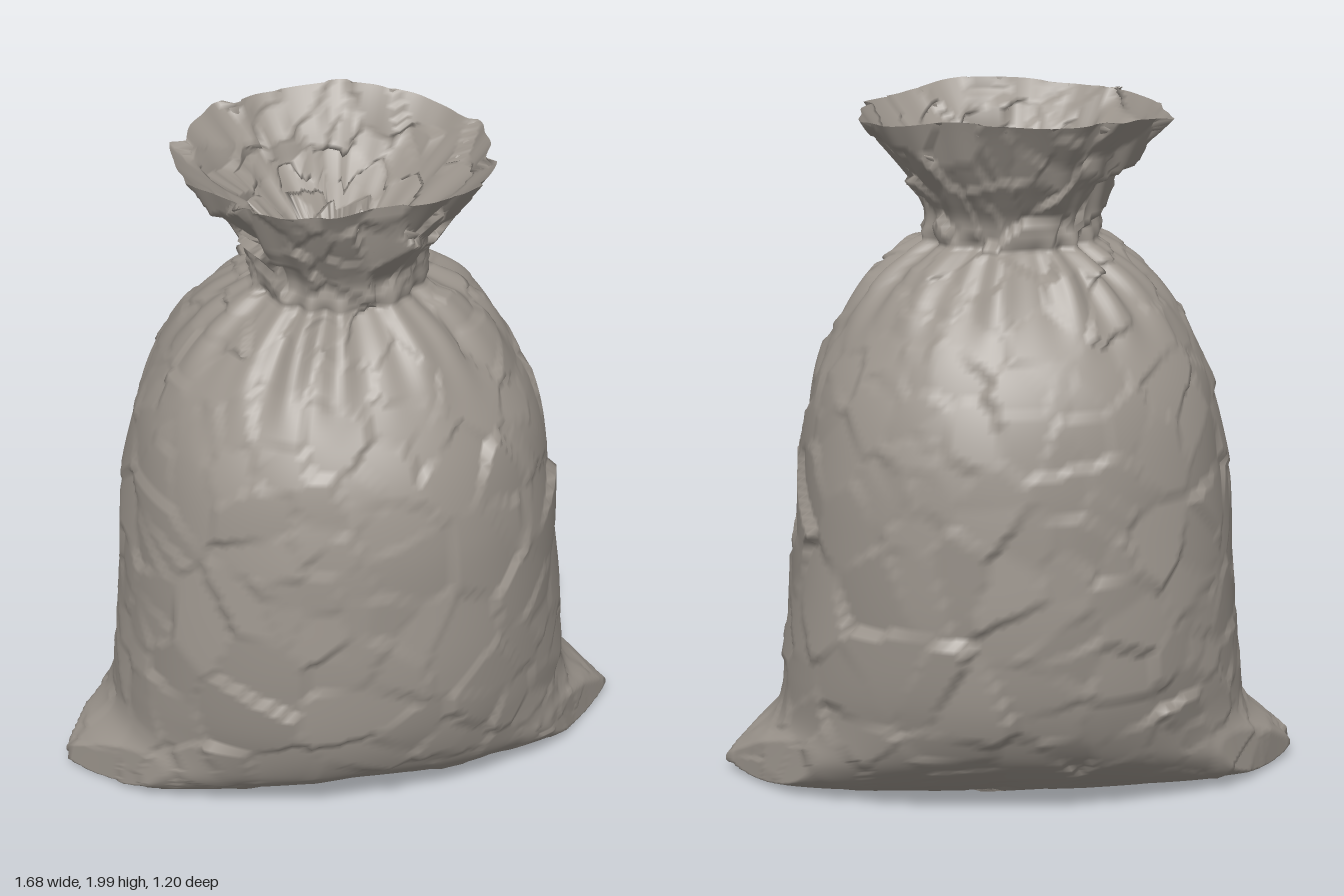
import * as THREE from 'three';

const TAU = Math.PI * 2;
const { smoothstep } = THREE.MathUtils;

// Profiles as [half width x, height, half depth z]
const OUTER = [
  [0, 0.004, 0], [0.42, 0.008, 0.12], [0.8, 0.018, 0.24], [0.84, 0.045, 0.3], [0.775, 0.12, 0.4],
  [0.69, 0.21, 0.485], [0.668, 0.36, 0.555], [0.648, 0.58, 0.59], [0.632, 0.8, 0.595],
  [0.605, 1.02, 0.585], [0.56, 1.22, 0.54], [0.475, 1.39, 0.45], [0.37, 1.52, 0.35],
  [0.26, 1.6, 0.26], [0.24, 1.615, 0.24], [0.25, 1.63, 0.25], [0.248, 1.69, 0.248],
  [0.275, 1.75, 0.275], [0.34, 1.855, 0.33], [0.42, 1.975, 0.39],
];
const LINING = [
  [0.42, 1.975, 0.39], [0.34, 1.88, 0.32], [0.26, 1.79, 0.26], [0.19, 1.73, 0.19],
  [0.11, 1.71, 0.11], [0, 1.71, 0],
];

function seededRandom(seed) {
  return () => {
    seed = (seed * 1664525 + 1013904223) % 4294967296;
    return seed / 4294967296;
  };
}

const makeCurve = (profile) =>
  new THREE.CatmullRomCurve3(profile.map((p) => new THREE.Vector3(...p)), false, 'centripetal');

// Rounded section, cut by upright wedges that pinch the two bottom corners
function sackPoint(ring, angle) {
  const power = 2.4 - 0.28 * smoothstep(ring.y, 0.05, 0.35);
  const bend = (v) => Math.sign(v) * Math.abs(v) ** (2 / power);
  const x = ring.x * bend(Math.cos(angle));
  const z = ring.z * bend(Math.sin(angle));
  const wedge = Math.min(1, 0.99 / (Math.abs(z) + 1.18 * Math.abs(x) + 1e-6));
  return new THREE.Vector3(x * wedge, ring.y, z * wedge);
}

// Cloth patches, each a slightly tilted plate that leaves a crease at its edge
function makePatches() {
  const random = seededRandom(71);
  const outer = makeCurve(OUTER);
  const lining = makeCurve(LINING);
  const patches = [];
  const scatter = (count, curve, from, to) => {
    for (let i = 0; i < count; i++) {
      const centre = sackPoint(curve.getPointAt(from + random() * (to - from)), random() * TAU);
      const tilt = new THREE.Vector3(random() - 0.5, random() - 0.5, random() - 0.5);
      patches.push({ centre, tilt });
    }
  };
  scatter(40, outer, 0.05, 0.3);
  scatter(250, outer, 0.28, 0.72);
  scatter(120, outer, 0.7, 1);
  scatter(42, lining, 0.1, 0.9);
  return patches;
}

function wrinkle(p, angle, patches, crumple) {
  let nearest = patches[0];
  let best = Infinity;
  for (const patch of patches) {
    const d = patch.centre.distanceToSquared(p);
    if (d < best) {
      best = d;
      nearest = patch;
    }
  }
  const neck = smoothstep(p.y, 1.35, 1.75);
  const slope = (0.2 + 0.32 * neck) * crumple;
  const plate = THREE.MathUtils.clamp(nearest.tilt.dot(p.clone().sub(nearest.centre)) * slope, -0.06, 0.06);

  // Gathers fan out below the tied neck
  const gather = smoothstep(p.y, 1.32, 1.54) * (1 - 0.75 * smoothstep(p.y, 1.58, 1.66));
  const pleat = 0.014 * gather * (Math.sin(angle * 13 + 2 * Math.sin(angle * 3)) + 0.5 * Math.sin(angle * 22 + 1));

  const push = (plate + pleat) * Math.min(1, Math.hypot(p.x, p.z) / 0.2);
  p.x += Math.cos(angle) * push;
  p.z += Math.sin(angle) * push;

  // Uneven mouth, higher at the front and back
  const rim = smoothstep(p.y, 1.8, 1.97);
  p.y += rim * (0.008 * Math.sin(angle * 5 + 1) - 0.014 * Math.cos(angle * 2));
  return plate;
}

function clothGeometry(profile, rows, columns, patches, extraCrumple, floorLift) {
  const curve = makeCurve(profile);
  const positions = [];
  const index = [];
  for (let i = 0; i <= rows; i++) {
    const t = i / rows;
    const ring = curve.getPointAt(t);
    for (let j = 0; j < columns; j++) {
      const angle = (j / columns) * TAU;
      const p = sackPoint(ring, angle);
      const plate = wrinkle(p, angle, patches, 1 + extraCrumple * t);
      p.y += floorLift * plate * t;
      positions.push(p.x, Math.max(0, p.y), p.z);
      if (i === rows) continue;
      const a = i * columns + j;
      const b = i * columns + ((j + 1) % columns);
      index.push(a, a + columns, b, b, a + columns, b + columns);
    }
  }
  const geometry = new THREE.BufferGeometry();
  geometry.setAttribute('position', new THREE.Float32BufferAttribute(positions, 3));
  geometry.setIndex(index);
  geometry.computeVertexNormals();
  return geometry;
}

export function createModel() {
  const group = new THREE.Group();
  group.name = 'tiedSack';
  const cloth = new THREE.MeshStandardMaterial({ color: 0x9c958d, side: THREE.DoubleSide });
  cloth.name = 'greyCloth';
  const patches = makePatches();

  const add = (name, geometry) => {
    const mesh = new THREE.Mesh(geometry, cloth);
    mesh.name = name;
    group.add(mesh);
  };

  // Body, tied neck and flared mouth
  add('sackBody', clothGeometry(OUTER, 190, 220, patches, 0, 0));

  // Crumpled inside of the mouth
  add('mouthLining', clothGeometry(LINING, 50, 140, patches, 3, 1.4));

  return group;
}
